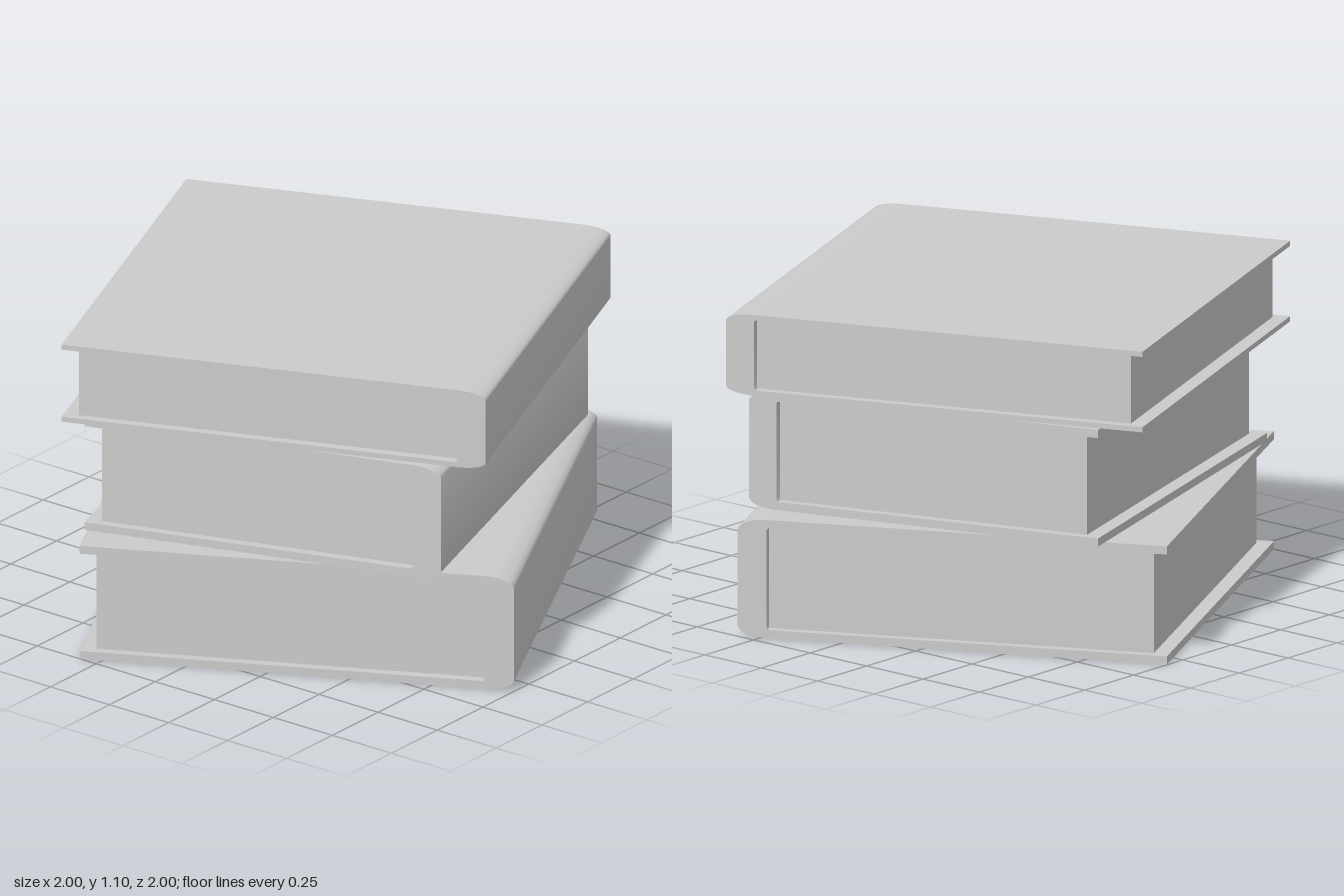
import * as THREE from 'three';
import { toCreasedNormals } from 'three/addons/utils/BufferGeometryUtils.js';

const SPINE = 0.1;       // thickness of the spine
const SIDE_INSET = 0.03; // pages set back from the cover at both ends
const BACK_INSET = 0.052; // pages set back from the cover's open edge

// C-shaped cover section (x = depth towards the spine, y = height), extruded along the spine
function coverGeometry(length, depth, height, board, round) {
  const f = depth / 2, b = -f, inner = f - SPINE, r = 0.012;
  const s = new THREE.Shape();
  s.moveTo(b, 0);
  s.lineTo(inner, 0);
  s.absellipse(inner, round, SPINE, round, -Math.PI / 2, 0, false);
  s.lineTo(f, height - round);
  s.absellipse(inner, height - round, SPINE, round, 0, Math.PI / 2, false);
  s.lineTo(b, height);
  s.lineTo(b, height - board);
  s.lineTo(inner - r, height - board);
  s.quadraticCurveTo(inner, height - board, inner, height - board - r);
  s.lineTo(inner, board + r);
  s.quadraticCurveTo(inner, board, inner - r, board);
  s.lineTo(b, board);
  s.closePath();
  const g = new THREE.ExtrudeGeometry(s, { depth: length, bevelEnabled: false, curveSegments: 8 });
  g.rotateY(-Math.PI / 2);
  g.translate(length / 2, 0, 0);
  return toCreasedNormals(g, 0.6);
}

function createBook(name, { length, depth, height, board, round }, material) {
  const book = new THREE.Group();
  book.name = name;

  const cover = new THREE.Mesh(coverGeometry(length, depth, height, board, round), material);
  cover.name = name + 'Cover';

  // page block, tucked slightly into the cover
  const pageDepth = depth - BACK_INSET - SPINE + 0.004;
  const pages = new THREE.Mesh(
    new THREE.BoxGeometry(length - 2 * SIDE_INSET, height - 2 * board + 0.004, pageDepth), material);
  pages.name = name + 'Pages';
  pages.position.set(0, height / 2, -depth / 2 + BACK_INSET + pageDepth / 2);

  book.add(cover, pages);
  return book;
}

export function createModel() {
  const model = new THREE.Group();
  model.name = 'bookStack';
  const material = new THREE.MeshStandardMaterial({ color: 0xcccccc });

  const books = [
    { name: 'bottomBook', length: 1.49, depth: 1.48, height: 0.41, board: 0.028, round: 0.04, y: 0, angle: 27, x: 0, z: 0 },
    { name: 'middleBook', length: 1.44, depth: 1.27, height: 0.405, board: 0.028, round: 0.035, y: 0.412, angle: 17.8, x: -0.005, z: -0.005 },
    { name: 'topBook', length: 1.48, depth: 1.48, height: 0.28, board: 0.018, round: 0.028, y: 0.82, angle: 21.4, x: 0, z: -0.01 },
  ];
  for (const b of books) {
    const book = createBook(b.name, b, material);
    book.position.set(b.x, b.y, b.z);
    book.rotation.y = THREE.MathUtils.degToRad(b.angle);
    model.add(book);
  }
  return model;
}
